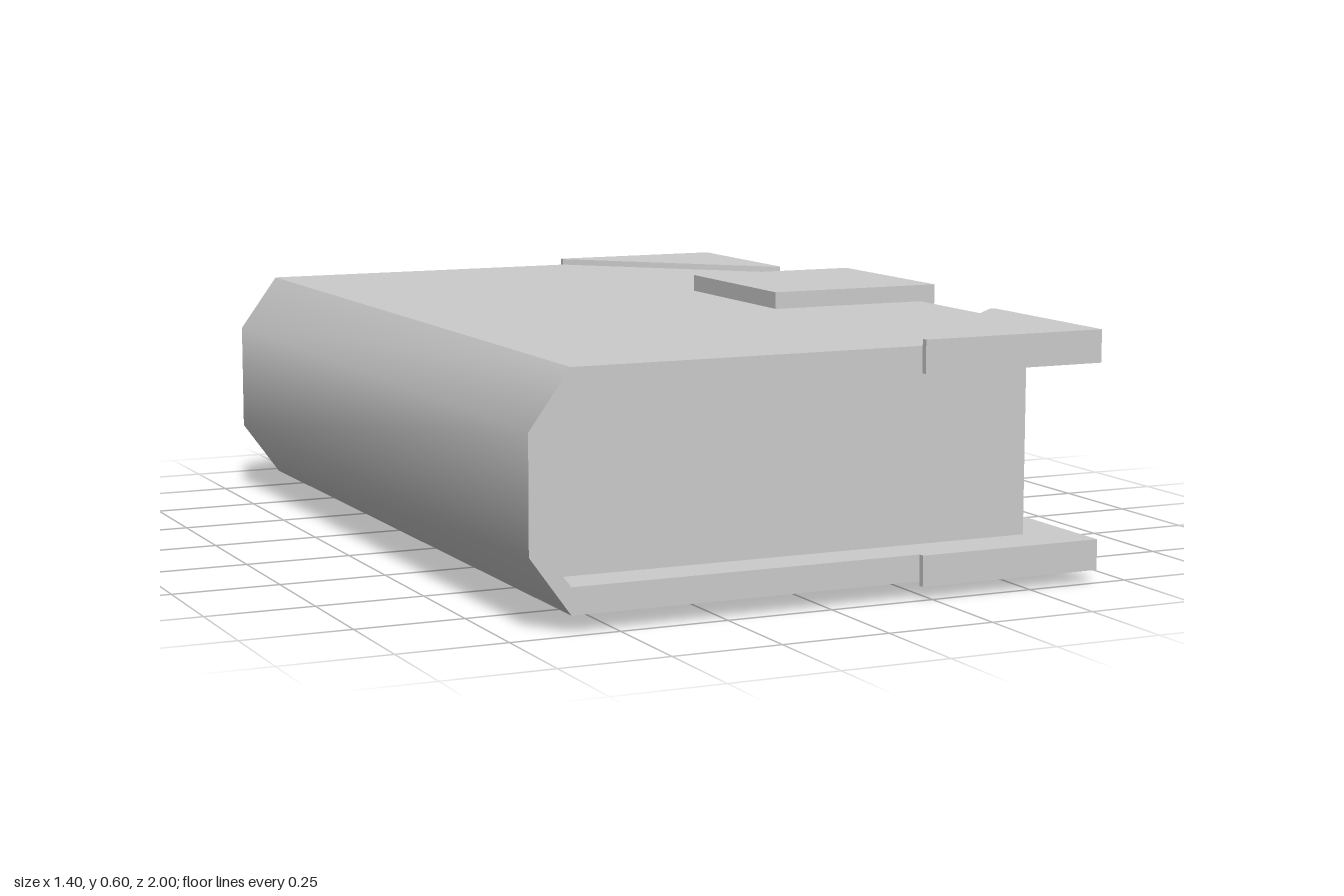
import * as THREE from 'three';
import { toCreasedNormals } from 'three/addons/utils/BufferGeometryUtils.js';

const grey = new THREE.MeshStandardMaterial({ color: 0xcccccc });

function addMesh(parent, name, geometry) {
  const mesh = new THREE.Mesh(geometry, grey);
  mesh.name = name;
  parent.add(mesh);
  return mesh;
}

// Extrude an x-y outline along z, centred on z = 0, smooth across shallow bends only
function prism(points, depth) {
  const shape = new THREE.Shape(points.map(([x, y]) => new THREE.Vector2(x, y)));
  const geometry = new THREE.ExtrudeGeometry(shape, { depth, bevelEnabled: false });
  geometry.translate(0, 0, -depth / 2);
  return toCreasedNormals(geometry, THREE.MathUtils.degToRad(45));
}

// Box given by its x and y ranges, centred on z = 0
function slab(x0, x1, y0, y1, depth) {
  return new THREE.BoxGeometry(x1 - x0, y1 - y0, depth)
    .translate((x0 + x1) / 2, (y0 + y1) / 2, 0);
}

export function createModel() {
  const book = new THREE.Group();
  book.name = 'book';

  // Spine lines, listed from top to bottom
  const outer = [[-0.605, 0.56], [-0.7, 0.43], [-0.7, 0.17], [-0.605, 0.04]];
  const inner = [[-0.605, 0.5], [-0.66, 0.43], [-0.66, 0.17], [-0.605, 0.1]];

  // Cover: two boards joined by the faceted spine
  addMesh(book, 'cover', prism([
    [0.66, 0.56], ...outer, [0.66, 0.04],
    [0.66, 0.1], ...[...inner].reverse(), [0.66, 0.5],
  ], 1.97));

  // Page block, filling the spine and set back from the cover edges
  addMesh(book, 'pages', prism([[0.555, 0.5], ...inner, [0.555, 0.1]], 1.76));

  // Corner guards: triangular plates with short straight ends, on both boards
  const corner = [[0.225, 0.985], [0.225, 1], [0.675, 1], [0.675, 0.55], [0.66, 0.55]];
  for (const side of [1, -1]) {
    const outline = corner.map(([x, z]) => [x, z * side]);
    for (const [level, y] of [['Top', 0.5375], ['Bottom', 0.065]]) {
      const guard = addMesh(book, `corner${level}${side > 0 ? 'Front' : 'Back'}`,
        prism(outline, level === 'Top' ? 0.075 : 0.07));
      guard.rotation.x = Math.PI / 2;
      guard.position.y = y;
    }
  }

  // Clasp: strap over the fore edge with a tab on each board
  const clasp = new THREE.Group();
  clasp.name = 'clasp';
  addMesh(clasp, 'claspStrap', slab(0.66, 0.7, 0, 0.6, 0.45));
  addMesh(clasp, 'claspTopTab', slab(0.26, 0.66, 0.56, 0.6, 0.45));
  addMesh(clasp, 'claspBottomTab', slab(0.185, 0.66, 0, 0.04, 0.45));
  book.add(clasp);

  return book;
}
